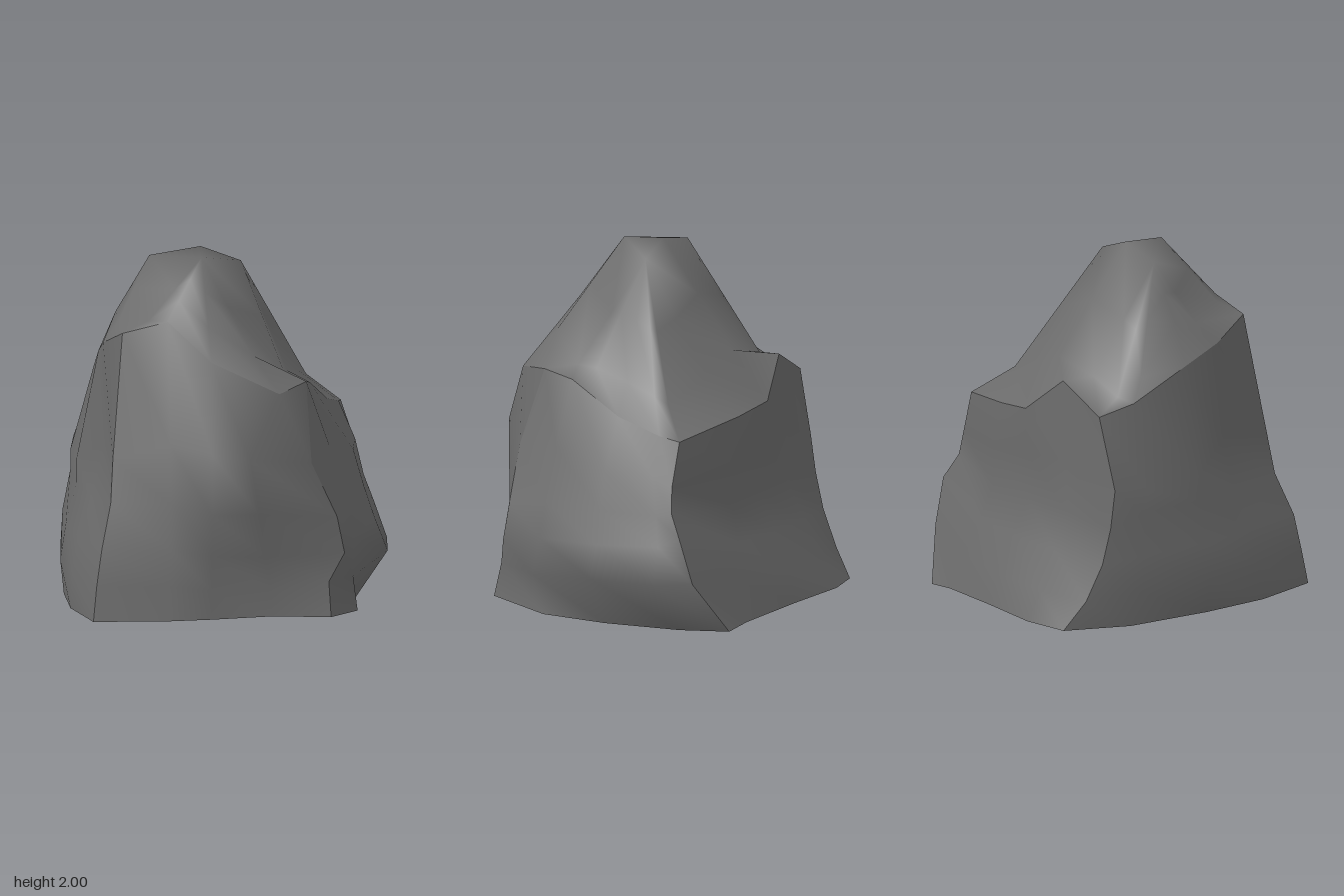
import * as THREE from 'three';
import { mergeVertices } from 'three/addons/utils/BufferGeometryUtils.js';

// Vertical profiles (rim to ground, [x, y, z]); each list starts at a corner ridge.
const front = [
  [[-.6, 1.61, .48], [-.66, .93, .595], [-.675, .69, .64], [-.73, .45, .73], [-.76, .25, .76], [-.78, .06, .79]],
  [[-.35, 1.67, .48], [-.35, 1.02, .68], [-.35, .7, .75], [-.35, .45, .76], [-.35, .25, .78], [-.36, .06, .8]],
  [[-.12, 1.47, .64], [-.13, 1, .88], [-.13, .66, .87], [-.13, .42, .82], [-.13, .22, .78], [-.13, .06, .77]],
  [[.25, 1.3, .69], [.08, .96, .85], [.13, .65, .8], [.17, .4, .75], [.2, .22, .73], [.2, .07, .75]],
];
const left = [
  [[.41, 1.33, .49], [.43, .9, .63], [.57, .6, .63], [.61, .4, .65], [.52, .25, .7], [.53, .06, .74]],
  [[.44, 1.29, .31], [.55, .93, .36], [.65, .64, .38], [.68, .44, .4], [.67, .23, .45], [.7, .02, .37]],
  [[.56, 1.13, -.02], [.7, .85, 0], [.76, .64, 0], [.82, .46, 0], [.89, .28, 0], [.7, 0, 0]],
  [[.64, 1.06, -.3], [.73, .85, -.3], [.78, .64, -.34], [.84, .48, -.38], [.91, .28, -.38], [.71, 0, -.45]],
];
const back = [
  [[.66, 1.04, -.43], [.74, .8, -.42], [.77, .66, -.43], [.82, .53, -.5], [.8, .28, -.57], [.64, 0, -.72]],
  [[.2, 1.11, -.58], [.25, .85, -.6], [.28, .62, -.58], [.32, .43, -.63], [.38, .22, -.7], [.45, .02, -.74]],
  [[-.08, 1.15, -.63], [-.08, .9, -.63], [-.06, .63, -.6], [-.04, .43, -.69], [-.03, .22, -.78], [-.02, .05, -.83]],
  [[-.35, 1.36, -.58], [-.4, .92, -.6], [-.42, .63, -.6], [-.43, .43, -.7], [-.43, .22, -.8], [-.43, .06, -.89]],
];
const right = [
  [[-.66, 1.22, -.57], [-.8, .83, -.57], [-.8, .62, -.6], [-.79, .42, -.65], [-.76, .22, -.74], [-.7, .06, -.85]],
  [[-.7, 1.27, -.36], [-.83, .8, -.36], [-.83, .68, -.38], [-.87, .45, -.42], [-.88, .25, -.44], [-.85, .06, -.5]],
  [[-.7, 1.42, 0], [-.82, .82, 0], [-.82, .68, 0], [-.88, .45, 0], [-.91, .25, 0], [-.89, .06, 0]],
  [[-.69, 1.51, .23], [-.69, .95, .26], [-.76, .66, .3], [-.83, .45, .35], [-.87, .25, .38], [-.88, .06, .4]],
];

const material = new THREE.MeshStandardMaterial({ color: 0x6c6c6c });
const mix = (a, b, t) => a.map((v, k) => v + (b[k] - v) * t);

// Skins a smooth sheet over neighbouring columns of points.
function sheet(name, columns) {
  const rows = columns[0].length, index = [];
  for (let i = 0; i < columns.length - 1; i++) {
    const l = i * rows, r = l + rows;
    for (let j = 0; j < rows - 1; j++) {
      index.push(l + j, l + j + 1, r + j + 1, l + j, r + j + 1, r + j);
    }
  }
  const geometry = new THREE.BufferGeometry();
  geometry.setAttribute('position', new THREE.Float32BufferAttribute(columns.flat(2), 3));
  geometry.setIndex(index);
  const smooth = mergeVertices(geometry);
  smooth.computeVertexNormals();
  const mesh = new THREE.Mesh(smooth, material);
  mesh.name = name;
  return mesh;
}

export function createModel() {
  const rock = new THREE.Group();
  rock.name = 'rock';

  // Four weathered walls, meeting in sharp corner ridges
  const walls = { frontWall: front, leftWall: left, backWall: back, rightWall: right };
  const names = Object.keys(walls);
  names.forEach((name, i) => {
    const next = walls[names[(i + 1) % 4]];
    rock.add(sheet(name, [...walls[name], next[0]]));
  });

  // Peak: slopes from a small summit to the rim, hollowed above each shoulder
  const A = [-.42, 1.95, 0], B = [-.14, 2, .02], C = [.08, 1.92, .03], D = [-.15, 1.985, .26];
  const summit = [D, D, D, D, C, C, C, C, C, C, B, A, A, A, A, A];
  const hollow = [.07, 0, 0, .04, .18, .16, .1, .11, .13, .07, .02, .2, .18, .12, -.04, .04];
  const all = Object.values(walls).flat();
  const slopes = all.map(([rim], i) => {
    const upper = mix(summit[i], rim, 1 / 3), lower = mix(summit[i], rim, 2 / 3);
    upper[1] -= hollow[i] / 2;
    lower[1] -= hollow[i];
    return [B, summit[i], upper, lower, rim];
  });
  rock.add(sheet('peak', [...slopes, slopes[0]]));

  // Underside, closed towards its middle
  const spokes = all.map(column => [column.at(-1), [-.1, .03, 0]]);
  rock.add(sheet('underside', [...spokes, spokes[0]]));
  return rock;
}
